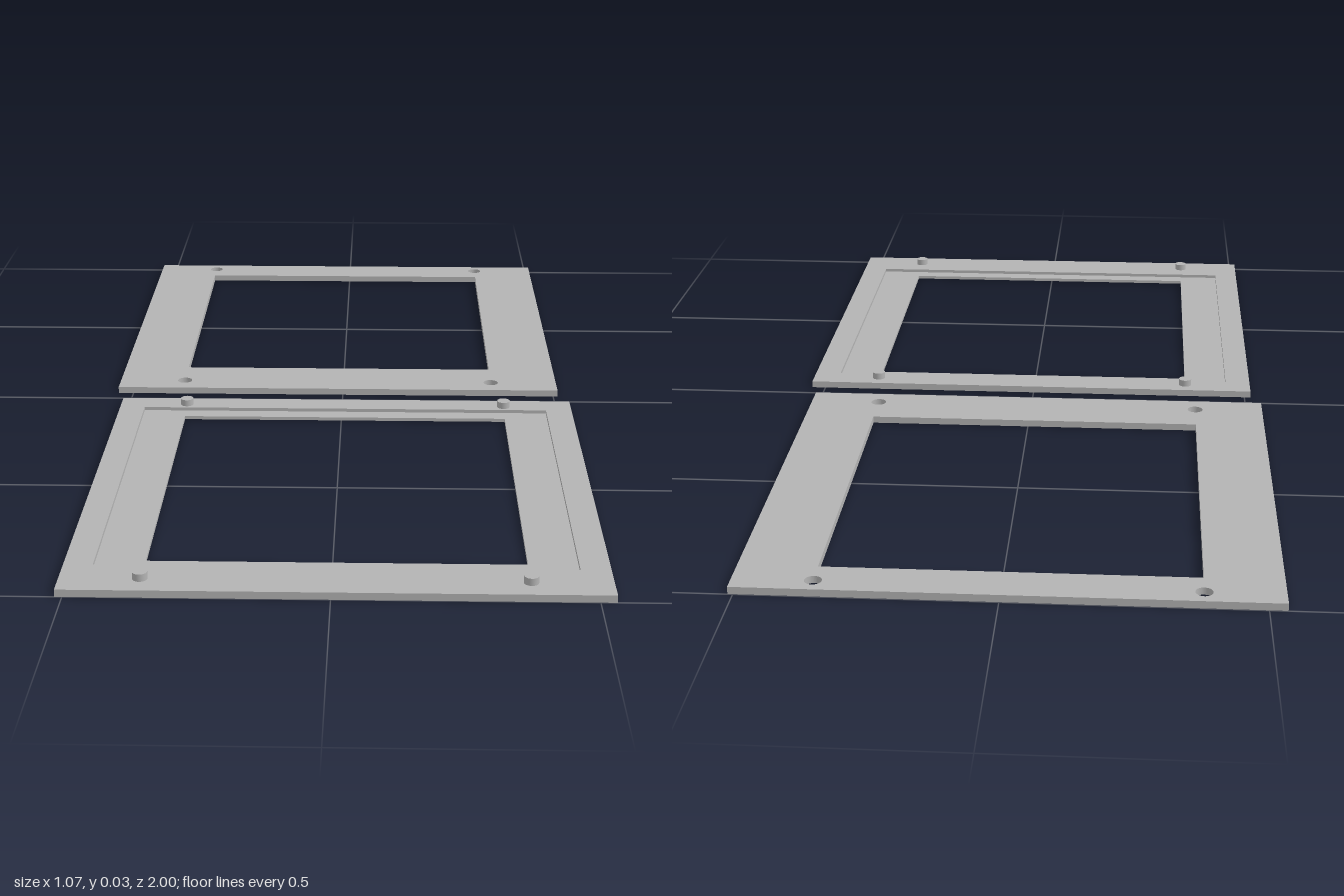
import * as THREE from 'three';

const THICK = 0.015;   // panel thickness
const STEP = 0.0075;   // height of the recessed ledge

// Closed rectangular outline given in x and z (shape y is -z)
function rect(target, x0, x1, z0, z1) {
  target.moveTo(x0, -z1);
  target.lineTo(x1, -z1);
  target.lineTo(x1, -z0);
  target.lineTo(x0, -z0);
  target.closePath();
  return target;
}

// Flat slab with holes, lying between y0 and y1
function slab(name, outline, holes, y0, y1, material) {
  const shape = rect(new THREE.Shape(), ...outline);
  shape.holes.push(...holes);
  const geo = new THREE.ExtrudeGeometry(shape, { depth: y1 - y0, bevelEnabled: false, curveSegments: 24 });
  geo.rotateX(-Math.PI / 2).translate(0, y0, 0);
  const mesh = new THREE.Mesh(geo, material);
  mesh.name = name;
  return mesh;
}

export function createModel() {
  const model = new THREE.Group();
  model.name = 'twoPartFrame';
  const grey = new THREE.MeshStandardMaterial({ color: 0xb3b3b3 });
  grey.name = 'grey';

  // Layout shared by both halves, in the front half's position
  const outer = [-0.514, 0.531, 0.035, 1];
  const opening = [-0.36, 0.375, 0.127, 0.863];
  const recess = [-0.457, 0.472, 0.092, 0.897];
  const corners = [-0.36, 0.375].flatMap(x => [0.071, 0.951].map(z => [x, z]));

  // Front half: ledge below, wider opening above, four locating pegs
  const front = new THREE.Group();
  front.name = 'baseFrame';
  front.add(slab('ledge', outer, [rect(new THREE.Path(), ...opening)], 0, STEP, grey));
  front.add(slab('rim', outer, [rect(new THREE.Path(), ...recess)], STEP, THICK, grey));
  for (const [x, z] of corners) {
    const peg = new THREE.Mesh(new THREE.CylinderGeometry(0.0145, 0.0145, 0.015, 32), grey);
    peg.name = 'peg';
    peg.position.set(x, THICK + 0.0075, z);
    front.add(peg);
  }
  model.add(front);

  // Back half: plain cover with matching peg holes
  const holes = corners.map(([x, z]) => new THREE.Path().absarc(x, -z, 0.017, 0, Math.PI * 2, true));
  holes.push(rect(new THREE.Path(), ...opening));
  const cover = slab('coverFrame', outer, holes, 0, THICK, grey);
  cover.position.set(-0.021, 0, -1.034);
  model.add(cover);

  return model;
}
